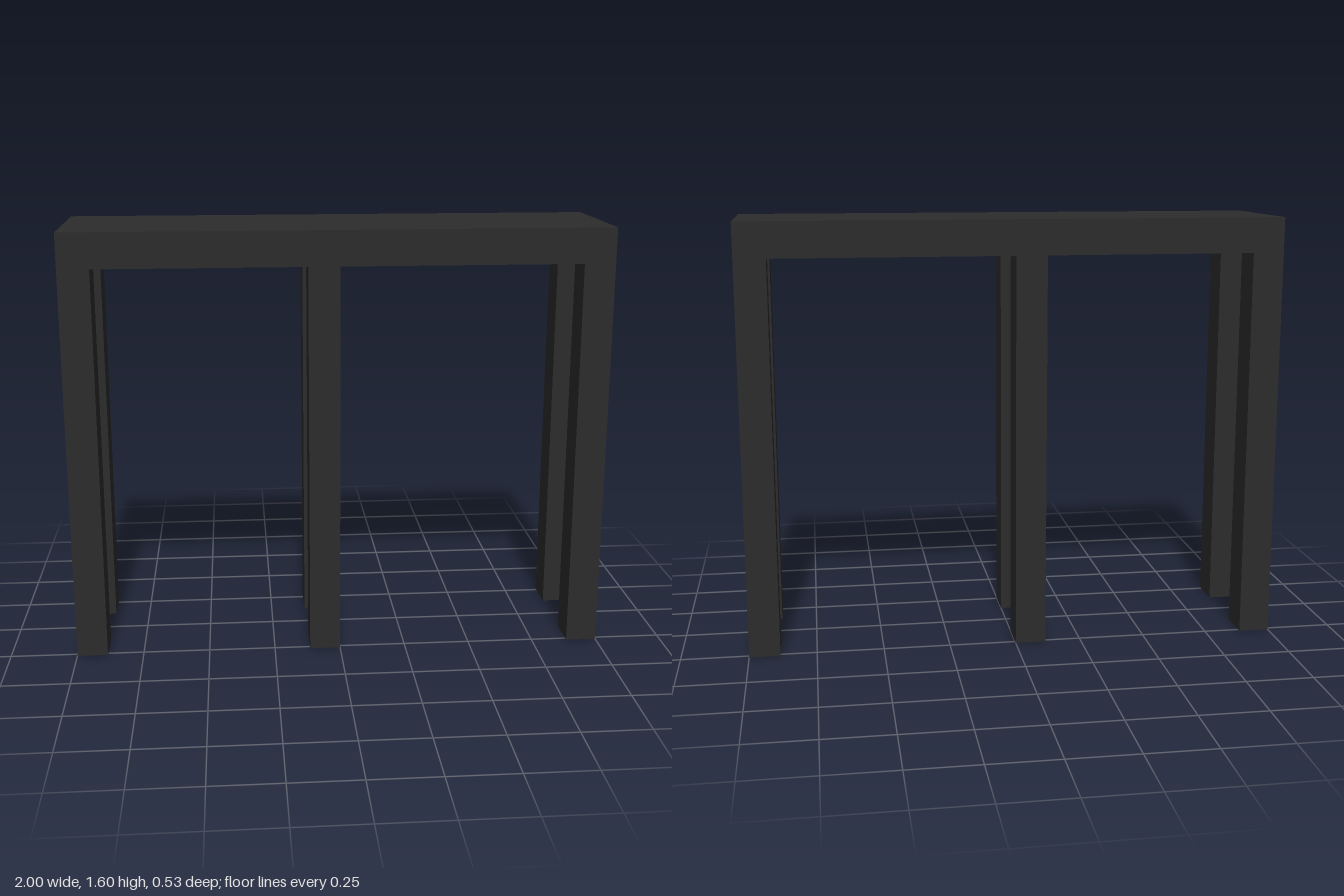
import * as THREE from 'three';

export function createModel() {
  const group = new THREE.Group();
  const charcoal = new THREE.MeshStandardMaterial({ color: 0x2c2c2c });
  charcoal.name = 'charcoal';

  const height = 1.6, width = 2, depth = 0.53;
  const slab = 0.13, legWidth = 0.115, legDepth = 0.135;
  const legHeight = height - slab;

  const addBox = (name, w, h, d, x, y, z) => {
    const mesh = new THREE.Mesh(new THREE.BoxGeometry(w, h, d), charcoal);
    mesh.name = name;
    mesh.position.set(x, y, z);
    group.add(mesh);
  };

  // Thick table top
  addBox('tableTop', width, slab, depth, 0, height - slab / 2, 0);

  // Three pairs of legs flush with the edges; the middle pair sits just off centre
  const columns = {
    right: -(width - legWidth) / 2,
    middle: -legWidth / 2,
    left: (width - legWidth) / 2,
  };
  for (const [column, x] of Object.entries(columns)) {
    for (const side of [1, -1]) {
      addBox(`${column}${side > 0 ? 'Front' : 'Back'}Leg`, legWidth, legHeight, legDepth,
        x, legHeight / 2, side * (depth - legDepth) / 2);
    }
  }
  return group;
}
